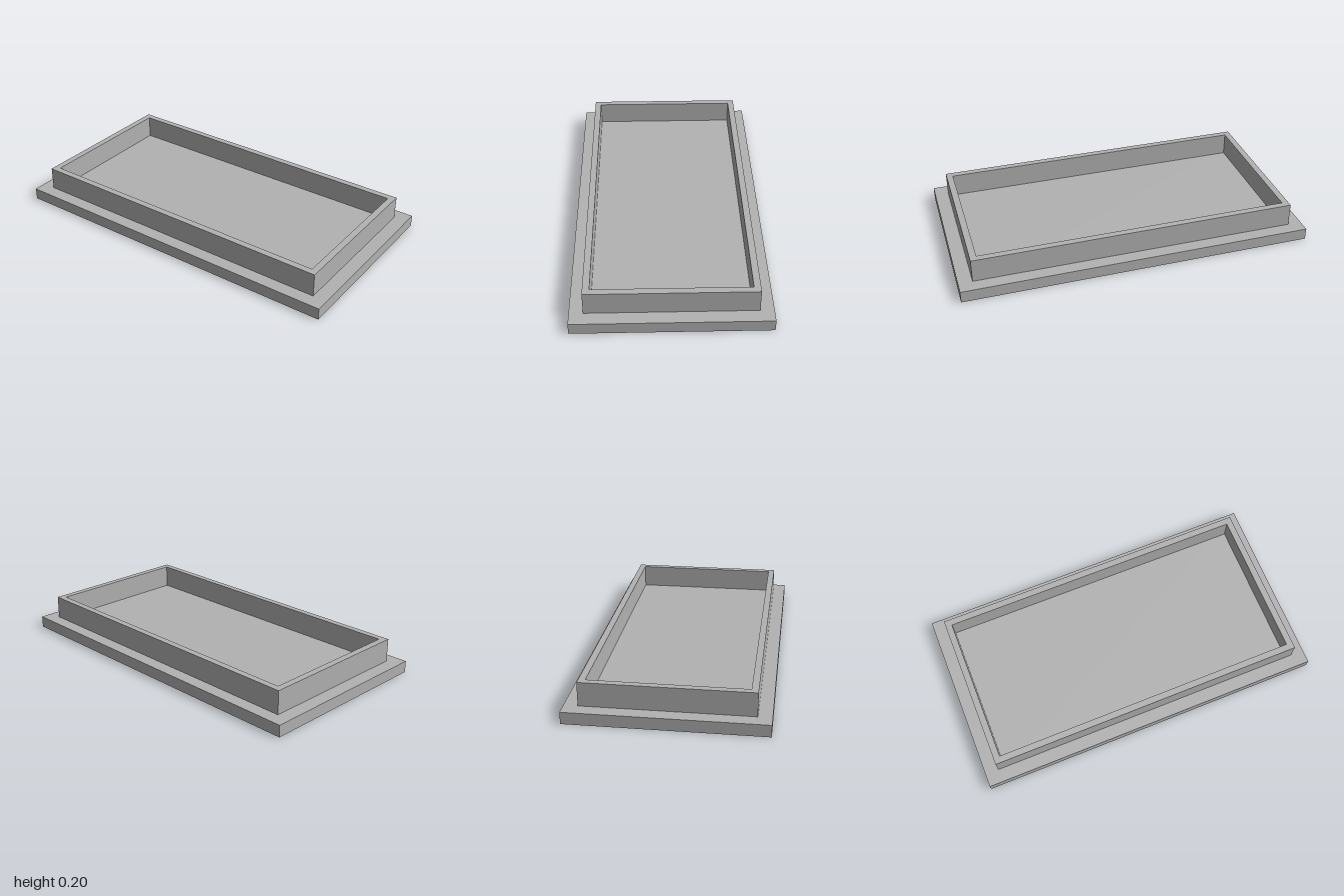
import * as THREE from 'three';

const BASE = { width: 2, depth: 1.066, height: 0.067 };
const RIM = { width: 1.844, depth: 0.917, height: 0.133, thickness: 0.037 };

// Trace a centred rectangle on a Shape or Path
function rectangle(path, width, depth) {
  const x = width / 2, y = depth / 2;
  path.moveTo(-x, -y);
  path.lineTo(x, -y);
  path.lineTo(x, y);
  path.lineTo(-x, y);
  path.closePath();
  return path;
}

export function createModel() {
  const group = new THREE.Group();
  group.name = 'tray';

  const grey = new THREE.MeshStandardMaterial({ color: 0xb2b2b2 });
  grey.name = 'grey';

  // Flat base slab, its top is also the tray floor
  const base = new THREE.Mesh(new THREE.BoxGeometry(BASE.width, BASE.height, BASE.depth), grey);
  base.name = 'base';
  base.position.y = BASE.height / 2;

  // Thin rectangular wall standing on the base
  const outline = rectangle(new THREE.Shape(), RIM.width, RIM.depth);
  const inset = 2 * RIM.thickness;
  outline.holes.push(rectangle(new THREE.Path(), RIM.width - inset, RIM.depth - inset));
  const rimGeometry = new THREE.ExtrudeGeometry(outline, { depth: RIM.height, bevelEnabled: false });
  rimGeometry.rotateX(-Math.PI / 2);
  const rim = new THREE.Mesh(rimGeometry, grey);
  rim.name = 'rimWall';
  rim.position.y = BASE.height;

  group.add(base, rim);
  return group;
}
